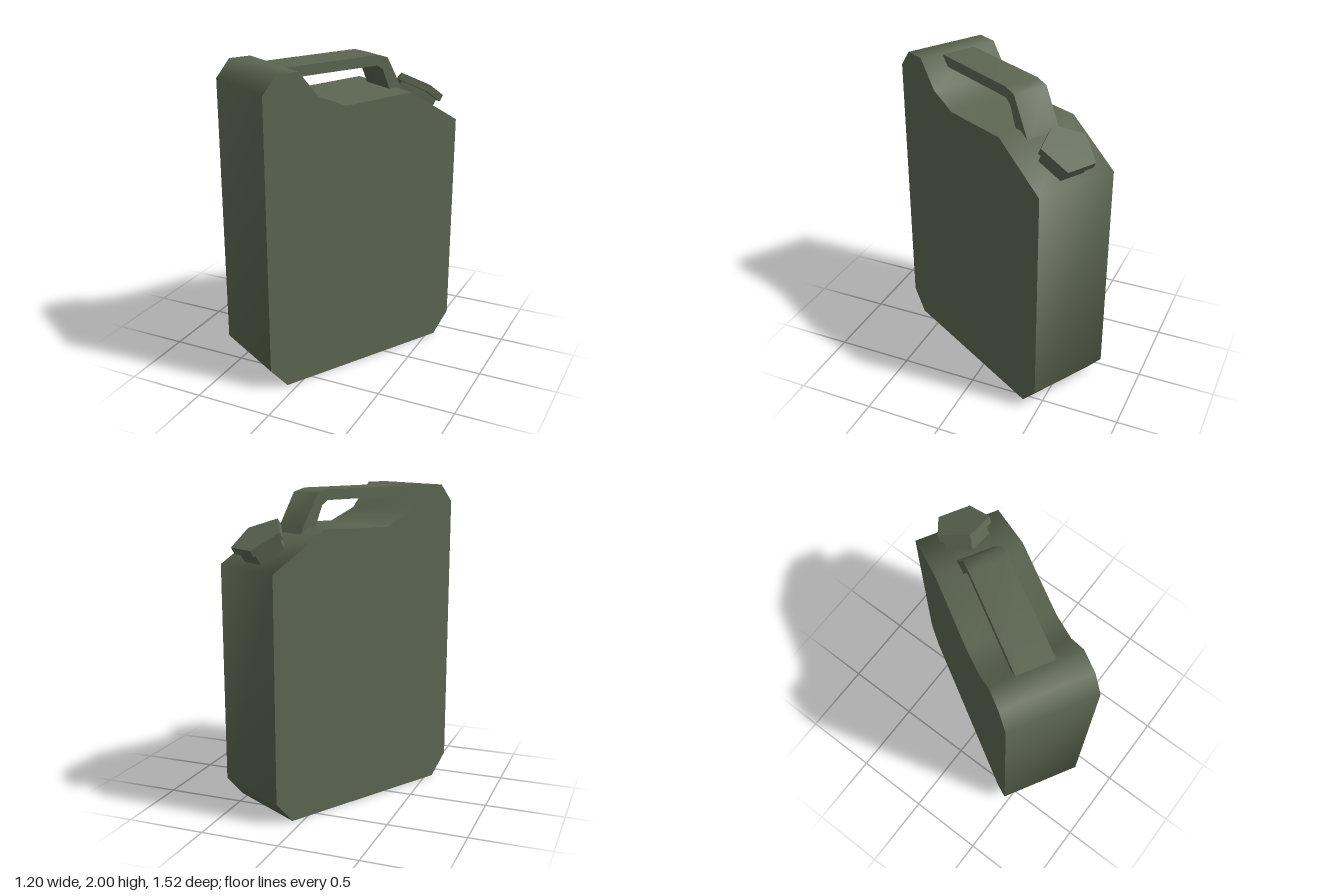
import * as THREE from 'three';
import { toCreasedNormals } from 'three/addons/utils/BufferGeometryUtils.js';

const CREASE = 1.2; // corners up to about 69 degrees shade smoothly

// Side profile (length, height) extruded symmetrically across the width.
function slab(points, width) {
  const shape = new THREE.Shape(points.map(([x, y]) => new THREE.Vector2(x, y)));
  const geometry = new THREE.ExtrudeGeometry(shape, { depth: width, bevelEnabled: false });
  geometry.translate(0, 0, -width / 2);
  return toCreasedNormals(geometry, CREASE);
}

// Five-sided disc with one corner pointing back towards the handle.
function pentagon(radius, bottom, top) {
  const geometry = new THREE.CylinderGeometry(radius, radius, top - bottom, 5, 1, false, -Math.PI / 2);
  geometry.translate(0, (top + bottom) / 2, 0);
  return toCreasedNormals(geometry, CREASE);
}

export function createModel() {
  const olive = new THREE.MeshStandardMaterial({ color: 0x5b6550 });
  olive.name = 'olivePaint';

  const model = new THREE.Group();
  model.name = 'fuelCan';
  const add = (parent, name, geometry) => {
    const mesh = new THREE.Mesh(geometry, olive);
    mesh.name = name;
    parent.add(mesh);
  };

  // The can stands turned on the ground
  const can = new THREE.Group();
  can.name = 'can';
  can.rotation.y = Math.PI / 3;
  model.add(can);

  // Tank with chamfered ends, a raised shoulder and a sloping spout side
  add(can, 'body', slab([
    [-0.60, 0], [0.60, 0], [0.717, 0.14], [0.717, 1.54], [0.34, 1.77],
    [-0.15, 1.755], [-0.342, 1.835], [-0.48, 2], [-0.625, 2], [-0.717, 1.89], [-0.717, 0.14],
  ], 0.556));

  // Carrying handle, its ends sunk into the body
  add(can, 'handle', slab([
    [-0.55, 1.993], [0.187, 1.993], [0.27, 1.97], [0.43, 1.68],
    [0.325, 1.68], [0.234, 1.90], [0.19, 1.928], [-0.55, 1.928],
  ], 0.24));

  // Spout and cap, square to the slope
  const spout = new THREE.Group();
  spout.name = 'spout';
  spout.position.set(0.567, 1.632, 0);
  spout.rotation.z = -0.548;
  can.add(spout);
  add(spout, 'neck', pentagon(0.146, -0.03, 0.08));
  add(spout, 'cap', pentagon(0.175, 0.073, 0.12));

  return model;
}
